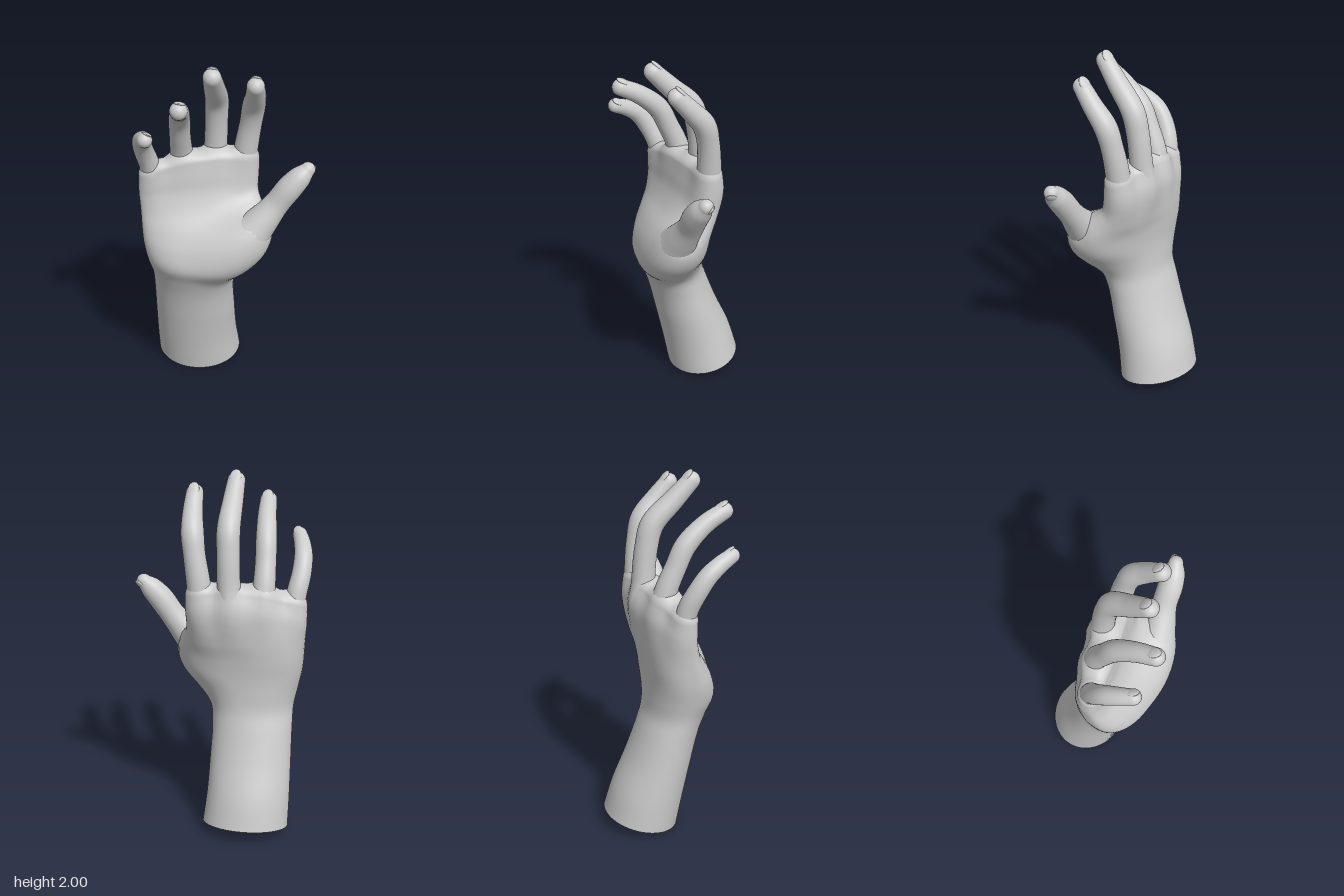
import * as THREE from 'three';
import { mergeVertices } from 'three/addons/utils/BufferGeometryUtils.js';

const material = new THREE.MeshStandardMaterial({ color: 0xcccccc });
const SIDES = 64;

// Skin a list of rings (each SIDES points, counter-clockwise about the path)
function skin(rings) {
  const positions = [], index = [];
  rings.forEach(ring => ring.forEach(p => positions.push(p.x, p.y, p.z)));
  for (let i = 0; i < rings.length - 1; i++) {
    for (let j = 0; j < SIDES; j++) {
      const a = i * SIDES + j, b = i * SIDES + (j + 1) % SIDES;
      index.push(a, b, a + SIDES, b, b + SIDES, a + SIDES);
    }
  }
  const geometry = new THREE.BufferGeometry();
  geometry.setAttribute('position', new THREE.Float32BufferAttribute(positions, 3));
  geometry.setIndex(index);
  const welded = mergeVertices(geometry, 1e-4);
  welded.computeVertexNormals();
  return welded;
}

function part(name, geometry) {
  const mesh = new THREE.Mesh(geometry, material);
  mesh.name = name;
  return mesh;
}

// Smoothly interpolate rows of numbers whose first entry is the key
function interpolator(rows) {
  return new THREE.CubicInterpolant(
    rows.map(r => r[0]), new Float32Array(rows.flatMap(r => r.slice(1))), rows[0].length - 1);
}

// Forearm and palm sections:
// y, x at little-finger edge, x at thumb edge, z at each edge, front bulge, back bulge, tilt
const BODY = [
  [0.04, -0.42, 0.065, -0.15, -0.15, 0.205, 0.205, 0.20],
  [0.20, -0.42, 0.05, -0.11, -0.11, 0.195, 0.20, 0.18],
  [0.40, -0.415, 0.045, -0.05, -0.05, 0.18, 0.18, 0.12],
  [0.60, -0.41, 0.045, 0.01, 0.01, 0.17, 0.17, 0.05],
  [0.70, -0.41, 0.065, 0.05, 0.05, 0.17, 0.18, 0],
  [0.80, -0.43, 0.135, 0.08, 0.10, 0.175, 0.21, 0],
  [0.90, -0.45, 0.205, 0.08, 0.09, 0.16, 0.205, 0],
  [1.00, -0.46, 0.22, 0.07, 0.06, 0.125, 0.195, 0],
  [1.10, -0.465, 0.195, 0.06, -0.01, 0.09, 0.17, 0],
  [1.20, -0.468, 0.17, 0.055, -0.06, 0.075, 0.145, 0],
  [1.30, -0.465, 0.162, 0.055, -0.08, 0.07, 0.125, 0],
  [1.38, -0.455, 0.155, 0.055, -0.085, 0.06, 0.09, 0],
];

// Bone lines: x, y, z, radius
const DIGITS = {
  indexFinger: [
    [0.05, 1.12, -0.06, 0.045], [0.085, 1.27, -0.092, 0.066], [0.102, 1.42, -0.09, 0.066],
    [0.128, 1.58, -0.075, 0.061], [0.145, 1.69, -0.045, 0.063], [0.162, 1.79, 0.035, 0.055],
    [0.168, 1.877, 0.112, 0.048]],
  middleFinger: [
    [-0.09, 1.12, -0.06, 0.05], [-0.08, 1.27, -0.1, 0.072], [-0.066, 1.42, -0.095, 0.064],
    [-0.058, 1.6, -0.075, 0.063], [-0.052, 1.72, -0.04, 0.064], [-0.05, 1.84, 0.075, 0.057],
    [-0.05, 1.942, 0.173, 0.049]],
  ringFinger: [
    [-0.22, 1.12, -0.02, 0.05], [-0.235, 1.27, -0.045, 0.068], [-0.245, 1.41, -0.02, 0.062],
    [-0.243, 1.53, 0.03, 0.058], [-0.235, 1.65, 0.09, 0.058], [-0.217, 1.75, 0.2, 0.052],
    [-0.205, 1.81, 0.308, 0.047]],
  littleFinger: [
    [-0.38, 1.1, 0.04, 0.04], [-0.4, 1.23, 0.03, 0.053], [-0.413, 1.36, 0.05, 0.056],
    [-0.43, 1.46, 0.095, 0.054], [-0.43, 1.545, 0.155, 0.051], [-0.41, 1.598, 0.23, 0.046],
    [-0.387, 1.627, 0.293, 0.041]],
  thumb: [
    [-0.1, 0.84, 0.07, 0.08], [-0.01, 0.87, 0.11, 0.12], [0.105, 0.95, 0.118, 0.122],
    [0.205, 1.065, 0.1, 0.092], [0.285, 1.17, 0.078, 0.071], [0.355, 1.27, 0.07, 0.07],
    [0.41, 1.335, 0.058, 0.061], [0.448, 1.376, 0.045, 0.041]],
};

// Fraction of each bone line that lies under the skin of the palm, and width of its blend
const rootOf = name => ({ thumb: 0.33, littleFinger: 0.24 }[name] ?? 0.27);
const blendOf = name => (name === 'thumb' ? 0.12 : 0.07);

// Centre curve and radius function of a digit
function bone(rows) {
  const curve = new THREE.CatmullRomCurve3(rows.map(r => new THREE.Vector3(r[0], r[1], r[2])));
  const sample = interpolator(rows.map((r, i) => [i / (rows.length - 1), r[3]]));
  return { curve, radius: t => sample.evaluate(Math.min(t, 0.9999))[0] };
}

function bodyRing(y, v, inset = 0, depth = 1, lift = 0) {
  const [x0, x1, z0, z1, front, back, tilt] = v;
  const centre = (x0 + x1) / 2, half = (x1 - x0) / 2 - inset;
  const drop = 0.55 * THREE.MathUtils.smoothstep(y, 1.1, 1.38);
  const power = 1 - 0.2 * THREE.MathUtils.smoothstep(y, 0.6, 1.0);
  return Array.from({ length: SIDES }, (_, j) => {
    const a = j / SIDES * Math.PI * 2, c = Math.cos(a), s = Math.sin(a);
    const u = Math.sign(c) * Math.abs(c) ** power;
    const w = Math.sign(s) * Math.abs(s) ** power;
    const x = centre + half * u;
    const dz = -w * (w > 0 ? back : front) * depth;
    const z = THREE.MathUtils.lerp(z0, z1, (x - x0) / (x1 - x0)) + dz;
    return new THREE.Vector3(x, y + lift - dz * tilt - drop * (x + 0.05) ** 2, z);
  });
}

// Swell the palm over the roots of the digits and blend it into them
function swellOverRoots(geometry) {
  const balls = Object.entries(DIGITS).flatMap(([name, rows]) => {
    const { curve, radius } = bone(rows);
    return Array.from({ length: 51 }, (_, i) => ({
      centre: curve.getPoint(i / 50), r: radius(i / 50),
      blend: blendOf(name), buried: i / 50 < rootOf(name) + 0.03,
    }));
  });
  const position = geometry.attributes.position, normal = geometry.attributes.normal;
  const p = new THREE.Vector3(), n = new THREE.Vector3();
  for (let i = 0; i < position.count; i++) {
    p.fromBufferAttribute(position, i);
    n.fromBufferAttribute(normal, i);
    let swell = 0;
    for (const { centre, r, blend, buried } of balls) {
      const gap = p.distanceTo(centre) - r;
      const near = Math.max(0, 1 - Math.abs(gap) / blend);
      swell = Math.max(swell, near * near * blend / 4 + (buried ? Math.max(0, -gap) : 0));
    }
    p.addScaledVector(n, swell);
    position.setXYZ(i, p.x, p.y, p.z);
  }
  geometry.computeVertexNormals();
  return geometry;
}

function buildBody() {
  const sample = interpolator(BODY), rings = [];
  const y0 = BODY[0][0], y1 = BODY[BODY.length - 1][0], steps = 80;
  for (let i = 0; i <= steps; i++) {
    const y = THREE.MathUtils.lerp(y0, y1, i / steps);
    rings.push(bodyRing(y, Array.from(sample.evaluate(Math.min(y, y1 - 1e-5)))));
  }
  // Rounded web between the finger roots
  const top = BODY[BODY.length - 1].slice(1);
  for (let k = 1; k <= 8; k++) {
    const a = k / 8 * Math.PI / 2;
    rings.push(bodyRing(y1, top, 0.06 * (1 - Math.cos(a)), Math.cos(a), 0.04 * Math.sin(a)));
  }
  // Flat cut at the end of the forearm
  const rim = rings[0];
  const middle = new THREE.Vector3();
  rim.forEach(p => middle.addScaledVector(p, 1 / SIDES));
  const cap = skin([rim.map(() => middle.clone()), rim]);
  return [part('forearmAndPalm', swellOverRoots(skin(rings))), part('forearmEnd', cap)];
}

// Digit around its bone line; dorsal points to the nail side
function buildDigit(name, rows, dorsal) {
  const group = new THREE.Group();
  group.name = name;
  const { curve, radius } = bone(rows);
  const frame = t => {
    const T = curve.getTangent(t);
    const N = dorsal.clone().addScaledVector(T, -dorsal.dot(T)).normalize();
    return { P: curve.getPoint(t), T, N, S: N.clone().cross(T) };
  };
  const ring = ({ P, T, N, S }, r, along = 0) => Array.from({ length: SIDES }, (_, j) => {
    const a = j / SIDES * Math.PI * 2;
    return P.clone().addScaledVector(S, r * Math.cos(a))
      .addScaledVector(N, r * Math.sin(a)).addScaledVector(T, along);
  });
  const rings = [], steps = 36;
  for (let i = 0; i <= steps; i++) {
    const t = THREE.MathUtils.lerp(rootOf(name), 1, i / steps);
    rings.push(ring(frame(t), radius(t)));
  }
  // Rounded fingertip
  const end = frame(1), r = rows[rows.length - 1][3];
  for (let k = 1; k <= 6; k++) {
    const a = k / 6 * Math.PI / 2;
    rings.push(ring(end, r * Math.cos(a), r * Math.sin(a)));
  }
  group.add(part(name + 'Flesh', skin(rings)));
  // Nail set into the back of the tip
  const nail = part(name + 'Nail', new THREE.SphereGeometry(1, 16, 10));
  nail.quaternion.setFromRotationMatrix(new THREE.Matrix4().makeBasis(end.S, end.N, end.T));
  nail.position.copy(end.P).addScaledVector(end.N, r * 0.76);
  nail.scale.set(r * 0.68, r * 0.28, r * 0.95);
  group.add(nail);
  return group;
}

export function createModel() {
  const hand = new THREE.Group();
  hand.name = 'hand';
  hand.add(...buildBody());
  for (const [name, rows] of Object.entries(DIGITS)) {
    const dorsal = name === 'thumb' ? new THREE.Vector3(0.7, -0.2, -0.7) : new THREE.Vector3(0, 0.3, -1);
    hand.add(buildDigit(name, rows, dorsal));
  }
  return hand;
}
